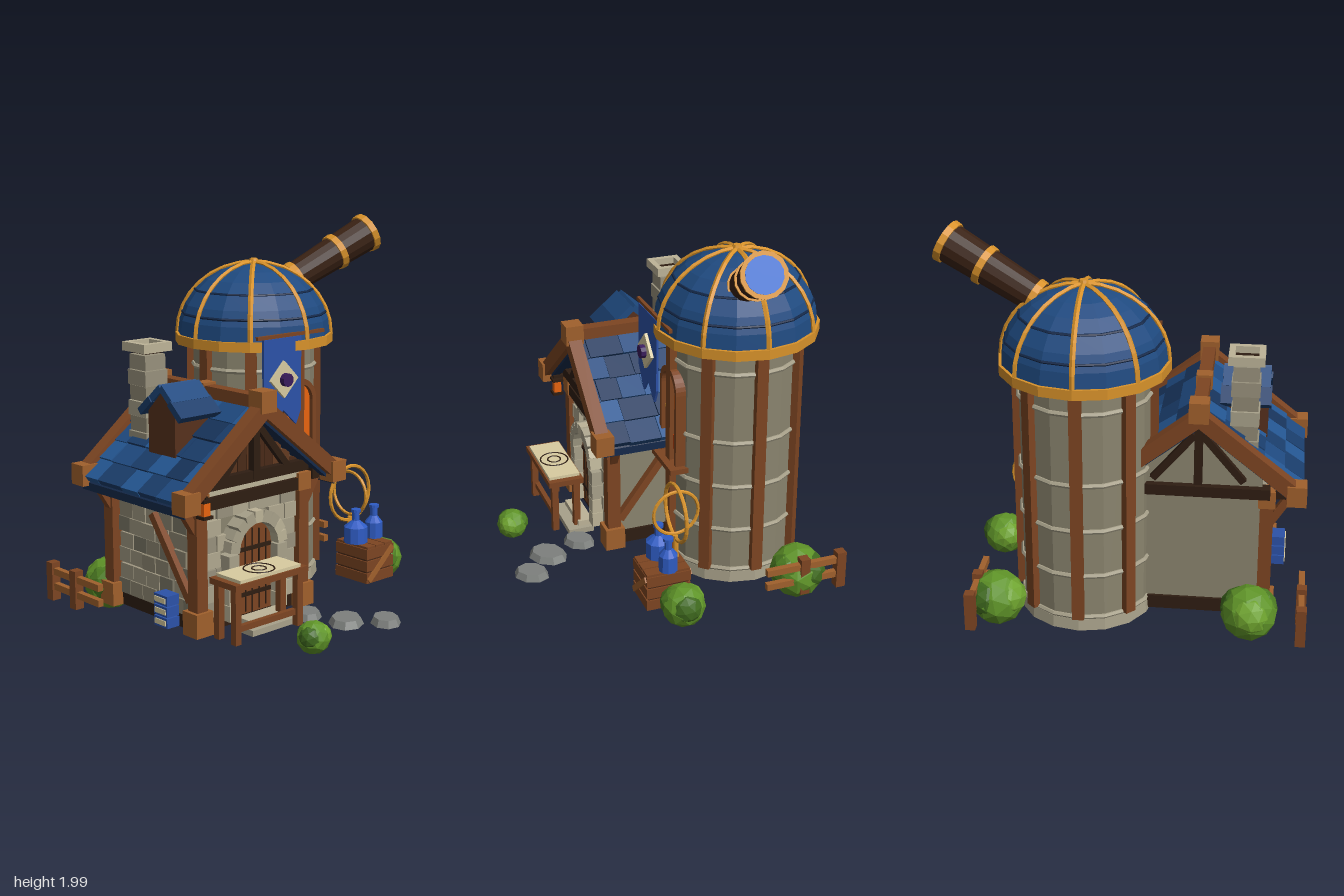
import * as THREE from 'three';

const C = {
  wood: 0x7d4522, lightWood: 0xa0602c, dark: 0x2e1d12, gold: 0xd8922a, blue: 0x1f4a80, navy: 0x14294a,
  plaster: 0x8a846e, stone: 0xa8a18a, pale: 0xbdb498, cloth: 0x2c52a8, glass: 0x2f5cc4, cream: 0xd8cba0,
  leaf: 0x5f9428, rock: 0x7d807d, orange: 0xe8640f, scope: 0x3a2214, purple: 0x3a1c5c,
};
const mats = {};
const mat = (c) => (mats[c] ??= new THREE.MeshStandardMaterial({ color: c, flatShading: true, side: THREE.DoubleSide }));
let seed = 7;
const rnd = () => (seed = (seed * 16807) % 2147483647) / 2147483647;
const pick = (...a) => a[Math.floor(rnd() * a.length)];
const V = (x, y, z) => new THREE.Vector3(x, y, z);

function add(parent, name, geo, color, x = 0, y = 0, z = 0) {
  const m = new THREE.Mesh(geo, mat(color));
  m.name = name;
  m.position.set(x, y, z);
  parent.add(m);
  return m;
}
const box = (p, n, c, w, h, d, x, y, z) => add(p, n, new THREE.BoxGeometry(w, h, d), c, x, y, z);
const cyl = (p, n, c, r1, r2, h, x, y, z, s = 12) => add(p, n, new THREE.CylinderGeometry(r1, r2, h, s), c, x, y, z);
const ring = (p, n, c, r, t, x, y, z, s = 24) => add(p, n, new THREE.TorusGeometry(r, t, 6, s), c, x, y, z);
// square bar between two points
function beam(p, n, c, a, b, w, d = w) {
  const dir = b.clone().sub(a);
  const m = box(p, n, c, w, dir.length(), d, 0, 0, 0);
  m.position.copy(a).add(b).multiplyScalar(0.5);
  m.quaternion.setFromUnitVectors(V(0, 1, 0), dir.normalize());
  return m;
}
function group(parent, name, x = 0, y = 0, z = 0) {
  const g = new THREE.Group();
  g.name = name;
  g.position.set(x, y, z);
  parent.add(g);
  return g;
}
const polygon = (pts) => new THREE.Shape(pts.map(([x, y]) => new THREE.Vector2(x, y)));
const extrude = (shape, depth) => new THREE.ExtrudeGeometry(shape, { depth, bevelEnabled: false, curveSegments: 8 });
// round-topped opening, base centred on the origin
function arch(r, straight) {
  const s = new THREE.Shape();
  s.moveTo(-r, 0); s.lineTo(r, 0); s.lineTo(r, straight);
  s.absarc(0, straight, r, 0, Math.PI, false);
  s.closePath();
  return s;
}

function buildTower(root) {
  const t = group(root, 'tower', 0.18, 0, -0.365);
  cyl(t, 'towerWall', C.plaster, 0.325, 0.325, 1.3, 0, 0.72, 0, 16);
  cyl(t, 'towerFooting', C.stone, 0.335, 0.34, 0.06, 0, 0.1, 0, 16);
  for (const y of [0.14, 0.37, 0.615, 0.86, 1.23]) ring(t, 'stoneBand', C.stone, 0.325, 0.014, 0, y, 0, 16).rotation.x = Math.PI / 2;
  for (let i = 0; i < 8; i++) {
    const a = (i * Math.PI) / 4;
    box(t, 'towerPost', C.wood, 0.058, 1.22, 0.05, Math.sin(a) * 0.33, 0.75, Math.cos(a) * 0.33).rotation.y = a;
  }
  // dome with gold ribs
  const prof = [];
  for (let i = 0; i <= 7; i++) {
    const a = (i / 7) * Math.PI / 2;
    prof.push(new THREE.Vector2(0.405 * Math.cos(a), 0.375 * Math.sin(a)));
  }
  add(t, 'dome', new THREE.LatheGeometry(prof, 16), C.blue, 0, 1.385, 0);
  for (const a of [0.32, 0.68]) ring(t, 'domeSeam', C.navy, 0.4 * Math.cos(a), 0.008, 0, 1.385 + 0.375 * Math.sin(a), 0, 16).rotation.x = Math.PI / 2;
  for (let i = 0; i < 4; i++) {
    const rib = add(t, 'domeRib', new THREE.TorusGeometry(0.405, 0.014, 5, 16, Math.PI), C.gold, 0, 1.385, 0);
    rib.scale.y = 0.93;
    rib.rotation.y = (i * Math.PI) / 4;
  }
  cyl(t, 'domeRim', C.gold, 0.418, 0.418, 0.05, 0, 1.37, 0, 16);
  cyl(t, 'domeCap', C.gold, 0.02, 0.03, 0.025, 0, 1.77, 0, 8);
  // arched window and sill
  const frame = arch(0.115, 0.39);
  frame.holes.push(arch(0.09, 0.385));
  add(t, 'windowFrame', extrude(frame, 0.09), C.wood, 0, 0.68, 0.265);
  add(t, 'windowPane', extrude(arch(0.095, 0.385), 0.06), C.orange, 0, 0.68, 0.272);
  box(t, 'yellowPane', 0xd8a828, 0.045, 0.07, 0.01, -0.055, 0.91, 0.334);
  box(t, 'redPane', 0xb8420c, 0.045, 0.08, 0.01, 0.055, 0.785, 0.334);
  box(t, 'windowSill', C.wood, 0.27, 0.028, 0.12, 0, 0.66, 0.33);
  // telescope, built along its own y axis
  const s = group(root, 'telescope', 0.33, 1.62, -0.33);
  s.quaternion.setFromUnitVectors(V(0, 1, 0), V(0.545, 0.275, 0.135).normalize());
  cyl(s, 'telescopeTube', C.scope, 0.098, 0.076, 0.62, 0, 0.31, 0, 14);
  for (const [y, r] of [[0.1, 0.087], [0.39, 0.098], [0.605, 0.106]]) cyl(s, 'telescopeBand', C.gold, r + 0.003, r, 0.035, 0, y, 0, 14);
  cyl(s, 'lens', 0x3f74d8, 0.088, 0.088, 0.01, 0, 0.622, 0, 14);
}

const RX = -0.38, TOP = 1.15, SLOPE = 0.8; // ridge x, roof top, roof slope
const roofY = (dx) => TOP - SLOPE * dx;

function buildHouse(root) {
  const h = group(root, 'house');
  add(h, 'houseWalls', extrude(polygon([[-0.69, 0.08], [-0.06, 0.08], [-0.06, 0.85], [RX, 1.1], [-0.69, 0.85]]), 0.65), C.plaster, 0, 0, -0.45);
  box(h, 'houseBase', C.dark, 0.66, 0.07, 0.68, -0.375, 0.115, -0.125);
  // roof tiles
  const roof = group(h, 'roof');
  for (const sx of [-1, 1]) {
    add(roof, 'roofDeck', extrude(polygon([[0, TOP - 0.02], [0, TOP - 0.06], [sx * 0.49, roofY(0.49) - 0.06], [sx * 0.49, roofY(0.49) - 0.02]]), 0.79), C.navy, RX, 0, -0.48);
    for (let r = 0; r < 5; r++) {
      let z = -0.48;
      while (z < 0.28) {
        const w = Math.min(0.11 + rnd() * 0.08, 0.295 - z), dx = 0.05 + r * 0.098;
        const t = box(roof, 'roofTile', pick(0x1f4a80, 0x1a3d6b, 0x245692, 0x17345c), 0.145, 0.032, w - 0.003, RX + sx * dx, roofY(dx) + rnd() * 0.008, z + w / 2);
        t.rotation.z = -sx * (Math.atan(SLOPE) - 0.08);
        z += w;
      }
    }
    box(roof, 'eaveBeam', C.dark, 0.05, 0.06, 0.74, RX + sx * 0.4, 0.765, -0.1);
  }
  beam(roof, 'ridgeBeam', C.wood, V(RX, 1.185, -0.48), V(RX, 1.185, 0.31), 0.065, 0.06);
  box(roof, 'ridgeBlock', C.lightWood, 0.08, 0.075, 0.07, RX, 1.19, -0.11);
  // gable ends
  for (const [z, dir] of [[0.31, 1], [-0.475, -1]]) {
    const g = group(h, dir > 0 ? 'frontGable' : 'backGable');
    box(g, 'ridgeEnd', C.lightWood, 0.095, 0.105, 0.095, RX, 1.19, z);
    const inner = dir > 0 ? 0.235 : -0.455;
    for (const sx of [-1, 1]) {
      beam(g, 'rafter', C.wood, V(RX, TOP + 0.005, z), V(RX + sx * 0.48, roofY(0.48) + 0.005, z), 0.075, 0.07);
      box(g, 'rafterEnd', C.lightWood, 0.095, 0.105, 0.095, RX + sx * 0.478, 0.775, z);
      beam(g, 'gableBrace', C.dark, V(RX + sx * 0.02, 1.06, inner + dir * 0.015), V(RX + sx * 0.22, 0.82, inner + dir * 0.015), 0.035, 0.03);
    }
    box(g, 'kingPost', C.dark, 0.04, 0.3, 0.04, RX, 0.95, inner + dir * 0.015);
    box(g, 'tieBeam', C.dark, 0.7, 0.055, 0.06, RX, dir > 0 ? 0.815 : 0.76, inner);
  }
  for (let i = -5; i <= 5; i++) {
    const top = roofY(Math.abs(i) * 0.058) - 0.06;
    box(h, 'gablePlank', pick(0x5a341c, 0x4a2a17, 0x633a20), 0.054, top - 0.8, 0.03, RX + i * 0.058, (top + 0.8) / 2, 0.21);
  }
  box(h, 'frontLintel', C.dark, 0.66, 0.06, 0.07, RX, 0.72, 0.215);
  box(h, 'lintelStones', C.pale, 0.62, 0.03, 0.05, RX, 0.77, 0.215);
  // corner posts, feet and braces
  for (const x of [-0.715, -0.045]) {
    const s = x < RX ? -1 : 1;
    for (const z of [0.215, -0.44]) {
      box(h, 'cornerPost', C.wood, 0.065, 0.66, 0.07, x, 0.42, z);
      box(h, 'postFoot', C.lightWood, 0.105, 0.12, 0.105, x, 0.14, z);
      box(h, 'postHead', C.lightWood, 0.085, 0.09, 0.085, x, 0.73, z);
      beam(h, 'eaveBrace', C.wood, V(x, 0.57, z), V(x + s * 0.12, 0.76, z), 0.04);
    }
    beam(h, 'sideBrace', C.wood, V(x + s * 0.01, 0.24, 0.18), V(x + s * 0.01, 0.62, -0.1), 0.04);
  }
  // wall stones on the front and right side
  for (let r = 0; r < 7; r++) {
    const y = 0.185 + r * 0.081;
    for (let i = 0; i < 6; i++) {
      const x = -0.64 + i * 0.104 + (r % 2) * 0.03 - 0.015;
      if (Math.abs(x - RX) > 0.15 || y > 0.64) box(h, 'frontStone', pick(0x98917c, 0xa8a18a, 0xb0a88f), 0.1, 0.076, 0.03 + rnd() * 0.02, x, y, 0.205);
      box(h, 'sideStone', pick(0x7d7867, 0x8f8873, 0xa09882), 0.03 + rnd() * 0.02, 0.076, 0.1, -0.69, y, -0.37 + i * 0.104 + (r % 2) * 0.03);
    }
  }
  // door with stone surround
  const d = group(h, 'door', RX, 0.12, 0.2);
  add(d, 'doorPanel', extrude(arch(0.13, 0.33), 0.03), C.wood);
  for (let i = -2; i <= 2; i++) box(d, 'doorGap', C.dark, 0.007, 0.43 - Math.abs(i) * 0.02, 0.006, i * 0.045, 0.215, 0.031);
  for (const y of [0.1, 0.33]) box(d, 'doorStrap', C.dark, 0.24, 0.02, 0.008, 0, y, 0.034);
  for (let i = 0; i < 9; i++) {
    const a = ((i + 0.5) / 9) * Math.PI;
    box(d, 'archStone', pick(C.stone, C.pale), 0.06, 0.053, 0.08, Math.cos(a) * 0.155, 0.34 + Math.sin(a) * 0.155, 0.045).rotation.z = a;
  }
  for (const s of [-1, 1]) for (let i = 0; i < 4; i++) box(d, 'jambStone', pick(C.stone, C.pale), 0.065, 0.08, 0.075, s * 0.158, 0.04 + i * 0.083, 0.042);
  box(d, 'lowerStep', C.stone, 0.3, 0.03, 0.14, 0, -0.035, 0.13);
  box(d, 'upperStep', C.pale, 0.25, 0.03, 0.08, 0, -0.005, 0.1);
  // chimney
  const c = group(h, 'chimney', -0.592, 0, -0.297);
  for (let i = 0; i < 7; i++) box(c, 'chimneyCourse', pick(0x98917c, 0xa8a18a, 0x8f8873), 0.125 + (i % 2) * 0.014, 0.074, 0.125 + (i % 2) * 0.014, 0, 0.87 + i * 0.077, 0);
  for (const s of [-1, 1]) {
    box(c, 'chimneyCap', C.pale, 0.175, 0.045, 0.03, 0, 1.407, s * 0.072);
    box(c, 'chimneyCap', C.pale, 0.03, 0.045, 0.115, s * 0.072, 1.407, 0);
  }
  box(c, 'flue', C.dark, 0.115, 0.02, 0.115, 0, 1.385, 0);
  // dormer facing sideways
  const m = group(h, 'dormer', -0.59, 0, -0.058);
  box(m, 'dormerBody', 0x56301c, 0.22, 0.24, 0.2, 0, 1.0, 0);
  const gable = add(m, 'dormerGable', extrude(polygon([[-0.1, 0], [0.1, 0], [0, 0.1]]), 0.22), 0x56301c, -0.11, 1.12, 0);
  gable.rotation.y = Math.PI / 2;
  for (const s of [-1, 1]) for (let i = 0; i < 2; i++) {
    box(m, 'dormerTile', i ? 0x1a3d6b : C.blue, 0.235 + i * 0.015, 0.035, 0.11, 0, 1.208 - i * 0.065, s * (0.042 + i * 0.072)).rotation.x = s * 0.72;
  }
  // lantern
  const l = group(h, 'lantern', -0.74, 0.725, 0.3);
  box(l, 'lanternGlow', C.orange, 0.04, 0.065, 0.04, 0, 0, 0);
  for (const y of [-0.04, 0.04]) box(l, 'lanternCap', C.dark, 0.058, 0.015, 0.058, 0, y, 0);
  beam(l, 'lanternArm', C.dark, V(0, 0.055, -0.1), V(0, 0.055, 0.02), 0.014);
  // stacked books beside the wall
  for (let i = 0; i < 3; i++) {
    box(h, 'bookCover', C.cloth, 0.075, 0.05, 0.1, -0.775, 0.125 + i * 0.056, 0.05);
    box(h, 'bookPages', C.cream, 0.08, 0.026, 0.08, -0.778, 0.125 + i * 0.056, 0.05);
  }
}

function buildProps(root) {
  // banner
  const b = group(root, 'banner', 0.01, 0, 0.025);
  beam(b, 'bannerRod', C.wood, V(-0.165, 1.43, 0), V(0.3, 1.43, 0), 0.018);
  beam(b, 'rodBracket', C.wood, V(0.15, 1.43, 0), V(0.15, 1.43, -0.12), 0.018);
  add(b, 'bannerCloth', extrude(polygon([[-0.13, 1.42], [0.13, 1.42], [0.13, 1.04], [0.095, 0.965], [0.005, 1.05], [-0.055, 0.97], [-0.13, 1.08]]), 0.012), C.cloth);
  box(b, 'bannerDiamond', C.cream, 0.135, 0.135, 0.02, 0, 1.21, 0.018).rotation.z = Math.PI / 4;
  cyl(b, 'bannerJewel', C.purple, 0.035, 0.035, 0.03, 0, 1.21, 0.04, 10).rotation.x = Math.PI / 2;
  // chart table
  const t = group(root, 'table', -0.49, 0, 0.4);
  box(t, 'tableTop', C.wood, 0.46, 0.03, 0.19, 0, 0.375, 0);
  box(t, 'chart', C.cream, 0.39, 0.016, 0.17, 0, 0.398, 0);
  for (const r of [0.035, 0.075]) ring(t, 'chartCircle', C.dark, r, 0.004, 0, 0.406, 0).rotation.x = Math.PI / 2;
  for (const x of [-0.2, 0.2]) for (const z of [-0.06, 0.06]) box(t, 'tableLeg', C.wood, 0.035, 0.28, 0.035, x, 0.23, z);
  box(t, 'tableRail', C.wood, 0.4, 0.03, 0.025, 0, 0.16, 0.05);
  // crate and flasks
  const c = group(root, 'crate', 0.515, 0.18, 0.145);
  box(c, 'crateBox', 0x4a2916, 0.19, 0.19, 0.21, 0, 0, 0);
  for (let i = -1; i <= 1; i++) {
    box(c, 'crateSlat', C.wood, 0.205, 0.055, 0.23, 0, i * 0.066, 0);
    box(c, 'crateLid', C.wood, 0.06, 0.012, 0.225, i * 0.066, 0.1, 0);
  }
  for (const s of [-1, 1]) beam(c, 'crateBrace', C.lightWood, V(-0.09, -0.08, s * 0.117), V(0.09, 0.08, s * 0.117), 0.03, 0.012);
  for (const [x, r] of [[0.45, 0.064], [0.59, 0.048]]) {
    const p = [[0, 0], [r, 0], [r, 0.085], [0.02, 0.12], [0.02, 0.165], [0.027, 0.165], [0.027, 0.18], [0, 0.18]];
    add(root, 'flask', new THREE.LatheGeometry(p.map((q) => new THREE.Vector2(...q)), 10), C.glass, x, 0.288, 0.14);
  }
  // ringed sky globe
  const a = group(root, 'skyGlobe', 0.485, 0.535, 0.06);
  ring(a, 'outerRing', C.gold, 0.148, 0.01, 0, 0, 0);
  ring(a, 'innerRing', C.gold, 0.118, 0.009, 0, 0, 0).rotation.y = Math.PI / 2;
  cyl(a, 'globeStand', C.gold, 0.012, 0.018, 0.14, 0, -0.2, 0, 8);
  // fences
  for (const [x, z] of [[0.71, -0.555], [-0.905, -0.52]]) {
    const f = group(root, 'fence', x, 0, z);
    for (const pz of [-0.19, 0.01]) box(f, 'fencePost', C.wood, 0.05, 0.2, 0.05, 0, 0.175, pz);
    for (const y of [0.15, 0.23]) box(f, 'fenceRail', C.lightWood, 0.03, 0.035, 0.42, 0, y, 0.005);
  }
  // bushes
  for (const [x, y, z, r] of [[-0.395, 0.11, 0.675, 0.085], [0.7, 0.14, 0.1, 0.115], [-0.65, 0.145, -0.56, 0.145], [0.61, 0.145, -0.555, 0.145]]) {
    const g = group(root, 'bush', x, y, z);
    for (let i = 0; i < 4; i++) {
      const k = i ? 0.72 : 0.97, o = i ? r * 0.32 : 0, an = i * 2.1 + x * 9;
      const m = add(g, 'foliage', new THREE.IcosahedronGeometry(r * k, 1), [0x5f9428, 0x4d7d22, 0x6ea32e, 0x3f6a1e][i], Math.cos(an) * o, i ? r * 0.1 : 0, Math.sin(an) * o);
      m.rotation.set(rnd() * 3, rnd() * 3, 0);
    }
  }
  // stepping stones
  for (const [x, z, r] of [[-0.14, 0.375, 0.09], [-0.065, 0.57, 0.11], [0.08, 0.7, 0.095]]) {
    const s = cyl(root, 'steppingStone', C.rock, r * 0.8, r, 0.035, x, 0.088, z, 8);
    s.scale.z = 0.8;
    s.rotation.y = rnd();
  }
}

export function createModel() {
  const root = new THREE.Group();
  root.name = 'observatory';
  buildTower(root);
  buildHouse(root);
  buildProps(root);
  return root;
}
